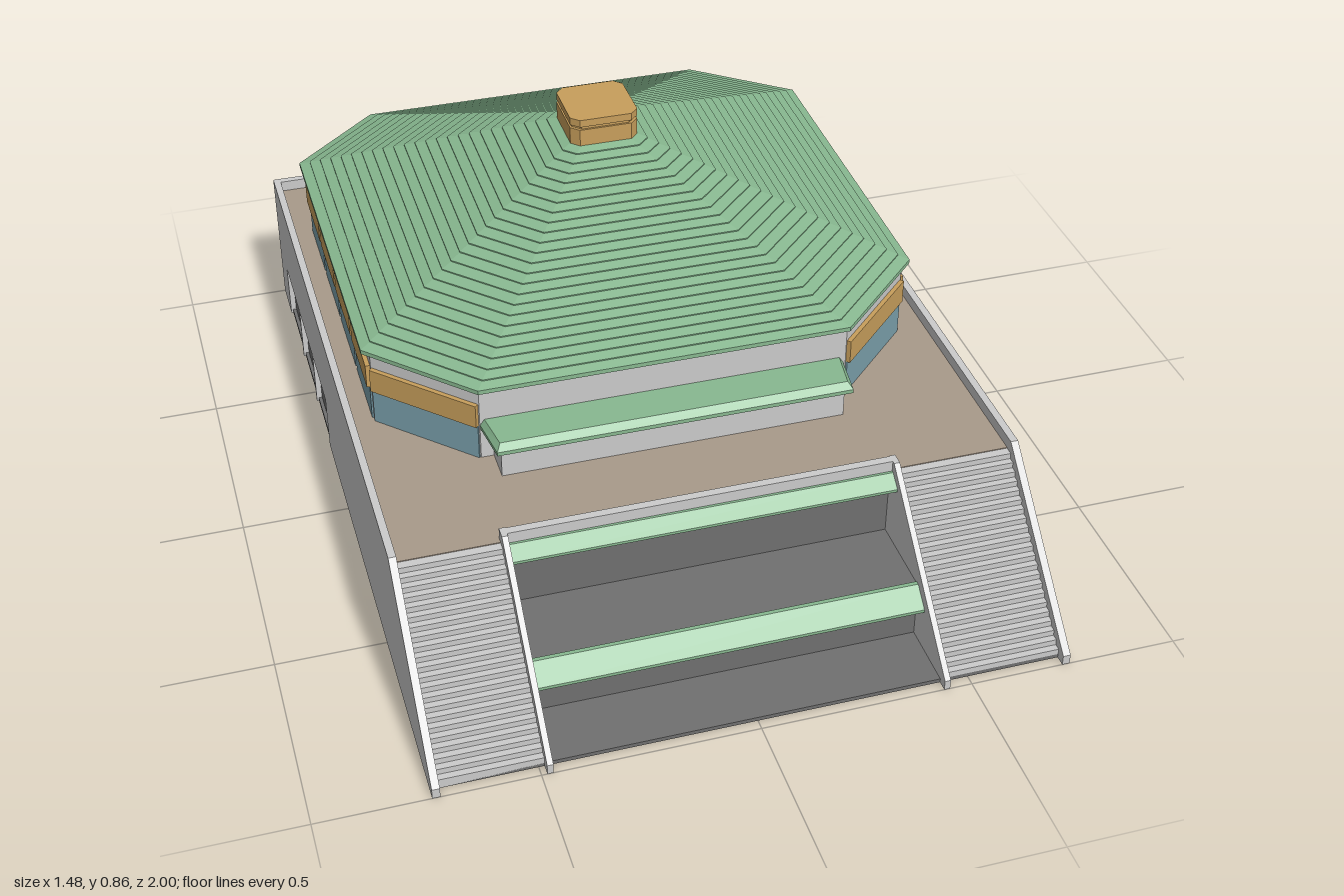
import * as THREE from 'three';

const mat = (color) => new THREE.MeshStandardMaterial({ color, flatShading: true });
const GREY = mat(0xcccccc), DARK = mat(0x707070), GREEN = mat(0x88b890);
const GOLD = mat(0xc89f5c), TEAL = mat(0x7ba0ac), DECK = mat(0xa89a8a);

export function createModel() {
  const model = new THREE.Group();

  const add = (name, geometry, material) => {
    const mesh = new THREE.Mesh(geometry, material);
    mesh.name = name;
    model.add(mesh);
    return mesh;
  };

  // Box given by its limits on each axis
  const box = (name, material, x0, x1, y0, y1, z0, z1) =>
    add(name, new THREE.BoxGeometry(x1 - x0, y1 - y0, z1 - z0)
      .translate((x0 + x1) / 2, (y0 + y1) / 2, (z0 + z1) / 2), material);

  // Side profile of [z, y] points extruded from x0 to x1
  const slab = (name, material, x0, x1, points) => {
    const shape = new THREE.Shape(points.map(([z, y]) => new THREE.Vector2(z, y)));
    const geometry = new THREE.ExtrudeGeometry(shape, { depth: x1 - x0, bevelEnabled: false });
    return add(name, geometry.rotateY(-Math.PI / 2).translate(x1, 0, 0), material);
  };

  // Closed solid through rings of [x, y, z] points, listed from bottom to top
  const loft = (name, material, rings) => {
    const pos = [];
    const n = rings[0].length;
    const tri = (...corners) => corners.forEach((c) => pos.push(...c));
    for (let r = 0; r + 1 < rings.length; r++) {
      for (let i = 0; i < n; i++) {
        const j = (i + 1) % n;
        const [a, b, c, d] = [rings[r][i], rings[r][j], rings[r + 1][j], rings[r + 1][i]];
        tri(a, b, c);
        tri(a, c, d);
      }
    }
    const bottom = rings[0], top = rings[rings.length - 1];
    for (let i = 1; i + 1 < n; i++) {
      tri(bottom[0], bottom[i + 1], bottom[i]);
      tri(top[0], top[i], top[i + 1]);
    }
    const geometry = new THREE.BufferGeometry();
    geometry.setAttribute('position', new THREE.Float32BufferAttribute(pos, 3));
    geometry.computeVertexNormals();
    return add(name, geometry, material);
  };

  const ringAt = (plan, y) => plan.map(([x, z]) => [x, y, z]);

  // Podium: dark core, floor slab, deck and back wall
  box('podiumCore', DARK, -0.72, 0.72, 0.01, 0.32, -0.99, 0.61);
  box('floorSlab', DARK, -0.735, 0.735, 0, 0.01, -0.99, 0.975);
  box('deck', DECK, -0.73, 0.73, 0.32, 0.337, -0.99, 0.615);
  box('backWall', GREY, -0.74, 0.74, 0, 0.365, -1, -0.982);

  // Side walls with three door openings, sloping down beside the stairs
  const doors = [[-0.885, -0.68], [-0.67, -0.47], [-0.46, -0.265]];
  const wallProfile = [[-1, 0]];
  doors.forEach(([z0, z1]) => wallProfile.push([z0, 0], [z0, 0.145], [z1, 0.145], [z1, 0]));
  wallProfile.push([1, 0], [1, 0.025], [0.63, 0.365], [-1, 0.365]);
  slab('leftSideWall', GREY, 0.722, 0.74, wallProfile);
  slab('rightSideWall', GREY, -0.74, -0.722, wallProfile);
  for (const [z0, z1] of doors) {
    box('leftDoor', DARK, 0.715, 0.726, 0.01, 0.145, z0, z1);
    box('rightDoor', DARK, -0.726, -0.715, 0.01, 0.145, z0, z1);
  }

  // Stairs and the cheek walls on their inner sides
  const cheek = [[0.6, 0], [1, 0], [1, 0.025], [0.63, 0.365], [0.6, 0.365]];
  slab('leftStairCheek', GREY, 0.433, 0.447, cheek);
  slab('rightStairCheek', GREY, -0.487, -0.473, cheek);
  const steps = 22;
  const stairProfile = [[0.605, 0], [0.975, 0]];
  for (let i = 0; i < steps; i++) {
    const z = 0.975 - (i / steps) * 0.355;
    const y = 0.01 + ((i + 1) / steps) * 0.325;
    stairProfile.push([z, y], [z - 0.355 / steps, y]);
  }
  stairProfile.push([0.605, 0.335]);
  slab('leftStairs', GREY, 0.447, 0.724, stairProfile);
  slab('rightStairs', GREY, -0.724, -0.487, stairProfile);

  // Terraced recess between the stairs, with sloping green canopies
  box('frontParapet', GREY, -0.475, 0.435, 0.335, 0.365, 0.602, 0.622);
  box('lowerStorey', DARK, -0.475, 0.435, 0.005, 0.153, 0.605, 0.815);
  slab('upperCanopy', GREEN, -0.475, 0.435,
    [[0.605, 0.31], [0.66, 0.305], [0.66, 0.312], [0.628, 0.337], [0.605, 0.337]]);
  slab('lowerCanopy', GREEN, -0.475, 0.435,
    [[0.805, 0.115], [0.86, 0.11], [0.86, 0.118], [0.815, 0.157], [0.805, 0.157]]);

  // Eight-sided hall
  const wallPlan = [[-0.46, 0.31], [0.43, 0.31], [0.65, 0.1], [0.655, -0.77],
    [0.43, -0.95], [-0.46, -0.95], [-0.67, -0.77], [-0.67, 0.1]];
  loft('hallWalls', GREY, [ringAt(wallPlan, 0.33), ringAt(wallPlan, 0.538)]);

  // Panel on one wall edge, covering the part from t0 to t1 of its length
  const panel = (name, material, edge, t0, t1, y0, y1, depth) => {
    const [ax, az] = wallPlan[edge], [bx, bz] = wallPlan[(edge + 1) % 8];
    const dx = bx - ax, dz = bz - az, t = (t0 + t1) / 2;
    const size = Math.hypot(dx, dz) * (t1 - t0);
    const mesh = add(name, new THREE.BoxGeometry(size, y1 - y0, depth), material);
    mesh.position.set(ax + dx * t, (y0 + y1) / 2, az + dz * t);
    mesh.rotation.y = Math.atan2(-dz, dx);
  };
  const bay = (edge, t0, t1) => {
    panel('windowGlass', TEAL, edge, t0, t1, 0.337, 0.428, 0.008);
    panel('windowHeader', GOLD, edge, t0, t1, 0.428, 0.489, 0.022);
  };
  bay(1, 0.01, 0.99);
  bay(7, 0.01, 0.99);
  for (const edge of [2, 6]) {
    for (let i = 0; i < 4; i++) bay(edge, i / 4 + 0.01, (i + 1) / 4 - 0.01);
  }

  // Low front annex with its canopy
  box('annexWall', GREY, -0.43, 0.4, 0.33, 0.425, 0.3, 0.39);
  const canopyPlan = (grow, front) => [[-0.44 - grow, front], [0.405 + grow, front],
    [0.42 + grow, 0.305], [-0.455 - grow, 0.305]];
  loft('annexCanopy', GREEN, [ringAt(canopyPlan(0.005, 0.42), 0.42),
    ringAt(canopyPlan(0.005, 0.42), 0.43), ringAt(canopyPlan(-0.005, 0.405), 0.445)]);

  // Roof laid in overlapping courses from the eave up to the cap
  const eave = [[-0.465, 0.33], [0.43, 0.33], [0.67, 0.1], [0.678, -0.78],
    [0.44, -0.97], [-0.465, -0.97], [-0.69, -0.77], [-0.69, 0.1]];
  const capPlan = (h) => {
    const c = h - 0.02;
    return [[-c, h], [c, h], [h, c], [h, -c], [c, -h], [-c, -h], [-h, -c], [-h, c]]
      .map(([x, z]) => [x, z - 0.34]);
  };
  const crown = capPlan(0.083);
  const roofRing = (t, lift) => eave.map(([x, z], i) => [
    x + (crown[i][0] - x) * t, 0.54 + 0.245 * t + lift, z + (crown[i][1] - z) * t]);
  const courses = 24;
  const roofRings = [ringAt(eave, 0.532)];
  for (let i = 0; i < courses; i++) {
    roofRings.push(roofRing(i / courses, 0.003), roofRing((i + 1) / courses, 0));
  }
  loft('roof', GREEN, roofRings);

  // Roof cap with a shadow groove
  const capSteps = [[0.085, 0.775], [0.085, 0.828], [0.08, 0.828], [0.08, 0.836],
    [0.085, 0.836], [0.085, 0.855]];
  loft('roofCap', GOLD, capSteps.map(([h, y]) => ringAt(capPlan(h), y)));

  return model;
}
